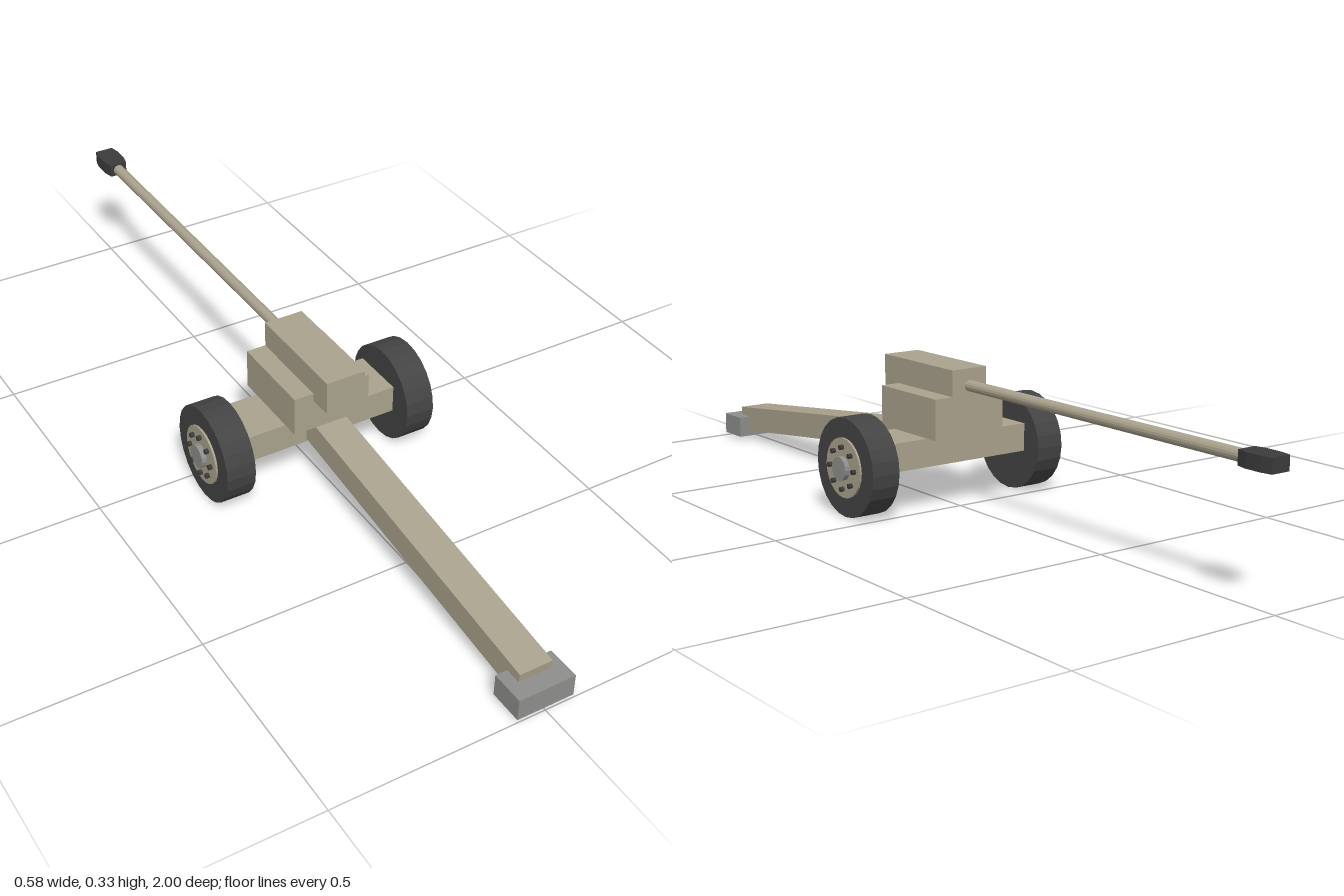
import * as THREE from 'three';

const paint = (color) => new THREE.MeshStandardMaterial({ color, flatShading: true });

export function createModel() {
  const root = new THREE.Group();
  const tan = paint(0xaaa28d), steel = paint(0x8e8e8c), rubber = paint(0x444444), dark = paint(0x3c3c3c);

  const add = (parent, name, geometry, material) => {
    const mesh = new THREE.Mesh(geometry, material);
    mesh.name = name;
    parent.add(mesh);
    return mesh;
  };
  // Box centred on x, given its height and depth ranges
  const block = (name, width, y0, y1, z0, z1, material) =>
    add(root, name, new THREE.BoxGeometry(width, y1 - y0, z1 - z0), material)
      .position.set(0, (y0 + y1) / 2, (z0 + z1) / 2);
  // Cylinder lying along x between two positions
  const disc = (parent, name, radius, x0, x1, sides, material) => {
    const mesh = add(parent, name,
      new THREE.CylinderGeometry(radius, radius, x1 - x0, sides).rotateZ(Math.PI / 2), material);
    mesh.position.x = (x0 + x1) / 2;
    return mesh;
  };

  // Carriage and breech
  block('breech', 0.096, 0.251, 0.332, -0.035, 0.238, tan);
  block('cradle', 0.192, 0.174, 0.27, -0.035, 0.181, tan);
  block('axleBeam', 0.386, 0.105, 0.172, 0.004, 0.138, tan);
  block('spade', 0.137, 0.008, 0.061, 0.92, 1.0, steel);

  // Trail: a long beam sloping down to the spade
  const length = 0.86, tilt = 0.116;
  const trail = add(root, 'trail',
    new THREE.BoxGeometry(0.08, 0.064, length).translate(0, -0.032, -length / 2), tan);
  trail.position.set(0, 0.082, 0.96);
  trail.rotation.x = tilt;

  // Barrel, slightly thicker toward the muzzle
  add(root, 'barrel', new THREE.CylinderGeometry(0.014, 0.013, 0.9, 16).rotateX(-Math.PI / 2), tan)
    .position.set(0, 0.292, -0.47);

  // Muzzle brake: a block with its sides narrowed at both ends
  const outline = new THREE.Shape([
    [-0.022, 0.91], [-0.028, 0.935], [-0.028, 0.975], [-0.023, 1],
    [0.023, 1], [0.028, 0.975], [0.028, 0.935], [0.022, 0.91],
  ].map(([x, y]) => new THREE.Vector2(x, y)));
  add(root, 'muzzleBrake',
    new THREE.ExtrudeGeometry(outline, { depth: 0.032, bevelEnabled: false }).rotateX(-Math.PI / 2), dark)
    .position.y = 0.277;

  // Wheels with hub, cap and a ring of bolts
  for (const side of [1, -1]) {
    const wheel = new THREE.Group();
    wheel.name = side > 0 ? 'leftWheel' : 'rightWheel';
    wheel.position.set(0, 0.116, 0.074);
    wheel.rotation.y = side > 0 ? 0 : Math.PI;
    root.add(wheel);
    disc(wheel, 'tyre', 0.116, 0.2, 0.271, 24, rubber);
    disc(wheel, 'hub', 0.07, 0.25, 0.276, 24, tan);
    disc(wheel, 'hubCap', 0.028, 0.26, 0.288, 16, steel);
    for (let i = 0; i < 8; i++) {
      const a = (i / 8) * Math.PI * 2;
      const bolt = disc(wheel, 'bolt', 0.006, 0.265, 0.285, 8, dark);
      bolt.position.y = Math.sin(a) * 0.049;
      bolt.position.z = Math.cos(a) * 0.049;
    }
  }
  return root;
}
